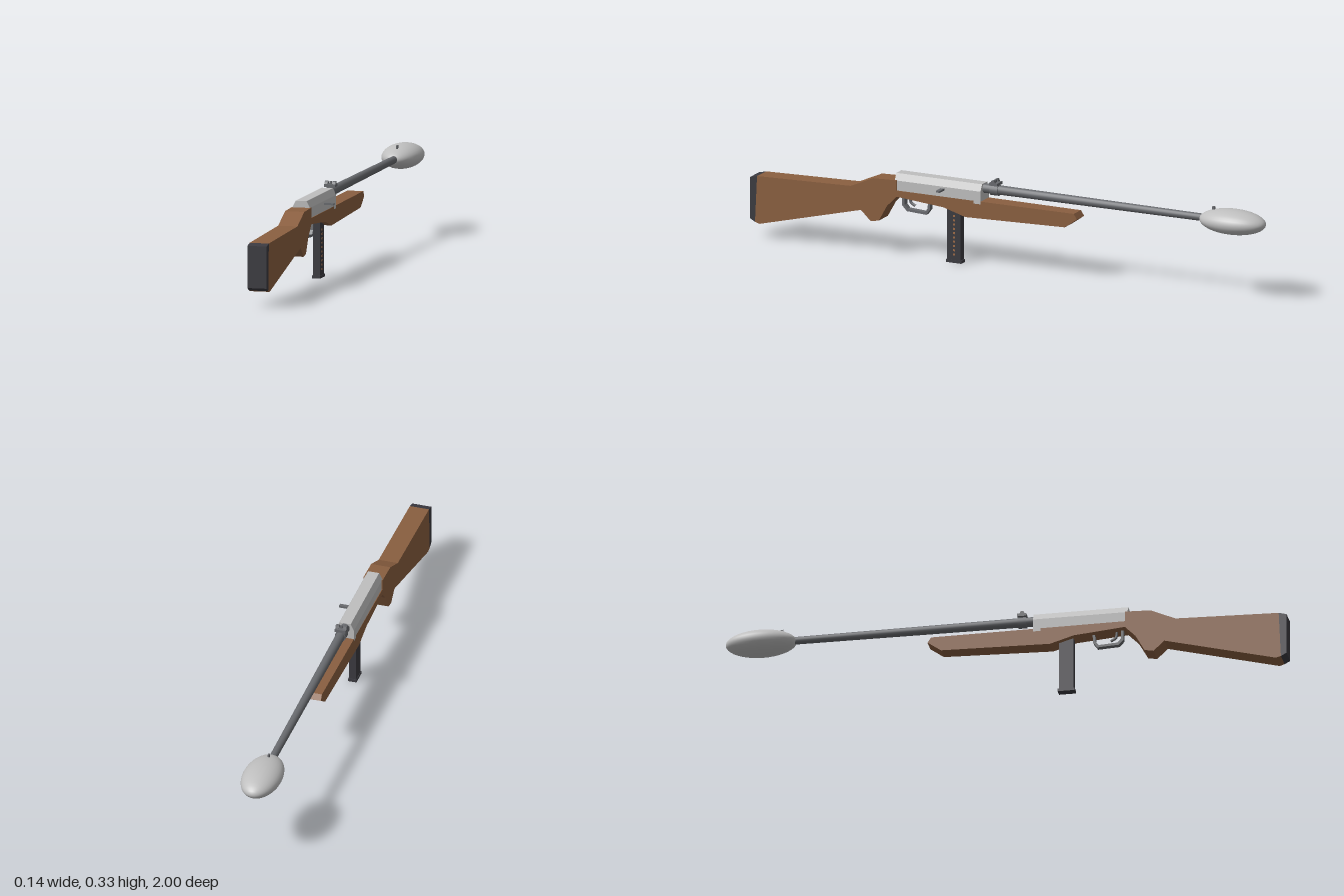
import * as THREE from 'three';

export function createModel() {
  const model = new THREE.Group();
  model.name = 'carbine';

  const material = (name, color, side = THREE.FrontSide) => {
    const m = new THREE.MeshStandardMaterial({ color, side });
    m.name = name;
    return m;
  };
  const wood = material('walnut wood', 0x8a5f40);
  const steel = material('pale steel', 0xbfbfbf);
  const gunmetal = material('gunmetal', 0x696b6f);
  const dark = material('dark metal', 0x3b3a40);
  const copper = material('copper', 0x9c6a45);

  const add = (name, geometry, mat, x = 0, y = 0, z = 0) => {
    const mesh = new THREE.Mesh(geometry, mat);
    mesh.name = name;
    mesh.position.set(x, y, z);
    model.add(mesh);
    return mesh;
  };
  const box = (name, mat, w, h, d, x, y, z) =>
    add(name, new THREE.BoxGeometry(w, h, d), mat, x, y, z);

  // Side profile given as [z, y] points, extruded across x
  const outline = (points) => points.map(([z, y]) => new THREE.Vector2(-z, y));
  const slab = (points, width, hole) => {
    const shape = new THREE.Shape(outline(points));
    if (hole) shape.holes.push(new THREE.Path(outline(hole)));
    const g = new THREE.ExtrudeGeometry(shape, { depth: width, bevelEnabled: false });
    g.translate(0, 0, -width / 2);
    return g.rotateY(Math.PI / 2);
  };

  // Shoulder stock with grip
  add('stock', slab([
    [0.972, 0.225], [0.605, 0.235], [0.517, 0.274], [0.425, 0.277], [0.425, 0.218],
    [0.463, 0.18], [0.495, 0.123], [0.527, 0.117], [0.565, 0.153], [0.962, 0.053], [0.98, 0.058],
  ], 0.07), wood);
  add('buttPad', slab([
    [1, 0.218], [0.972, 0.225], [0.98, 0.058], [1, 0.069],
  ], 0.07), dark);

  // Fore-end, narrowing towards the muzzle
  const foreEnd = slab([
    [0.425, 0.24], [-0.265, 0.24], [-0.278, 0.221], [-0.23, 0.187],
    [0.158, 0.177], [0.243, 0.202], [0.425, 0.218],
  ], 2);
  const p = foreEnd.attributes.position;
  for (let i = 0; i < p.count; i++) {
    const t = (0.425 - p.getZ(i)) / 0.7;
    p.setX(i, p.getX(i) * (0.035 - 0.007 * t));
  }
  foreEnd.computeVertexNormals();
  add('foreEnd', foreEnd, wood);

  // Receiver with a chamfered roof
  const section = new THREE.Shape([
    [-0.032, 0.23], [0.032, 0.23], [0.032, 0.276], [0.02, 0.3], [-0.02, 0.3], [-0.032, 0.276],
  ].map(([x, y]) => new THREE.Vector2(x, y)));
  add('receiver', new THREE.ExtrudeGeometry(section, { depth: 0.336, bevelEnabled: false }),
    steel, 0, 0, 0.098);
  box('boltHandle', gunmetal, 0.045, 0.007, 0.014, 0.0445, 0.266, 0.247);

  // Tapered barrel and its egg-shaped end
  add('barrel', new THREE.CylinderGeometry(0.017, 0.013, 0.93, 16).rotateX(Math.PI / 2),
    gunmetal, 0, 0.282, -0.355);
  add('muzzleBulb', new THREE.SphereGeometry(1, 32, 20).rotateX(Math.PI / 2).scale(0.07, 0.044, 0.126),
    steel, 0, 0.281, -0.874);
  box('frontSight', gunmetal, 0.006, 0.03, 0.01, 0, 0.312, -0.8);

  // Rear sight: clamp, base and two ears
  add('sightClamp', new THREE.CylinderGeometry(0.02, 0.02, 0.03, 16).rotateX(Math.PI / 2),
    gunmetal, 0, 0.281, 0.055);
  box('sightBase', gunmetal, 0.04, 0.01, 0.032, 0, 0.304, 0.055);
  for (const s of [-1, 1]) {
    add('sightEar', slab([[0.068, 0.305], [0.062, 0.317], [0.052, 0.319], [0.046, 0.305]], 0.012),
      gunmetal, s * 0.014, 0, 0);
  }
  box('sightBlade', gunmetal, 0.008, 0.012, 0.006, 0, 0.312, 0.055);

  // Trigger guard and trigger
  add('triggerGuard', slab(
    [[0.416, 0.225], [0.416, 0.182], [0.398, 0.163], [0.322, 0.159], [0.308, 0.178], [0.305, 0.215]],
    0.02,
    [[0.406, 0.222], [0.406, 0.186], [0.394, 0.172], [0.327, 0.168], [0.317, 0.182], [0.314, 0.212]],
  ), gunmetal);
  const triggerCurve = new THREE.CatmullRomCurve3([
    new THREE.Vector3(0, 0.218, 0.39), new THREE.Vector3(0, 0.195, 0.387),
    new THREE.Vector3(0, 0.183, 0.368),
  ]);
  add('trigger', new THREE.TubeGeometry(triggerCurve, 8, 0.005, 8), gunmetal);

  // Magazine with a floor plate and a row of cartridge slots on its left side
  box('magazine', dark, 0.026, 0.2, 0.052, 0, 0.106, 0.212);
  box('magazineFloor', dark, 0.03, 0.01, 0.06, 0, 0.005, 0.212);
  for (let i = 0; i < 10; i++) {
    box('cartridgeSlot', copper, 0.002, 0.007, 0.008, 0.0132, 0.03 + i * 0.0155, 0.211);
  }

  return model;
}
